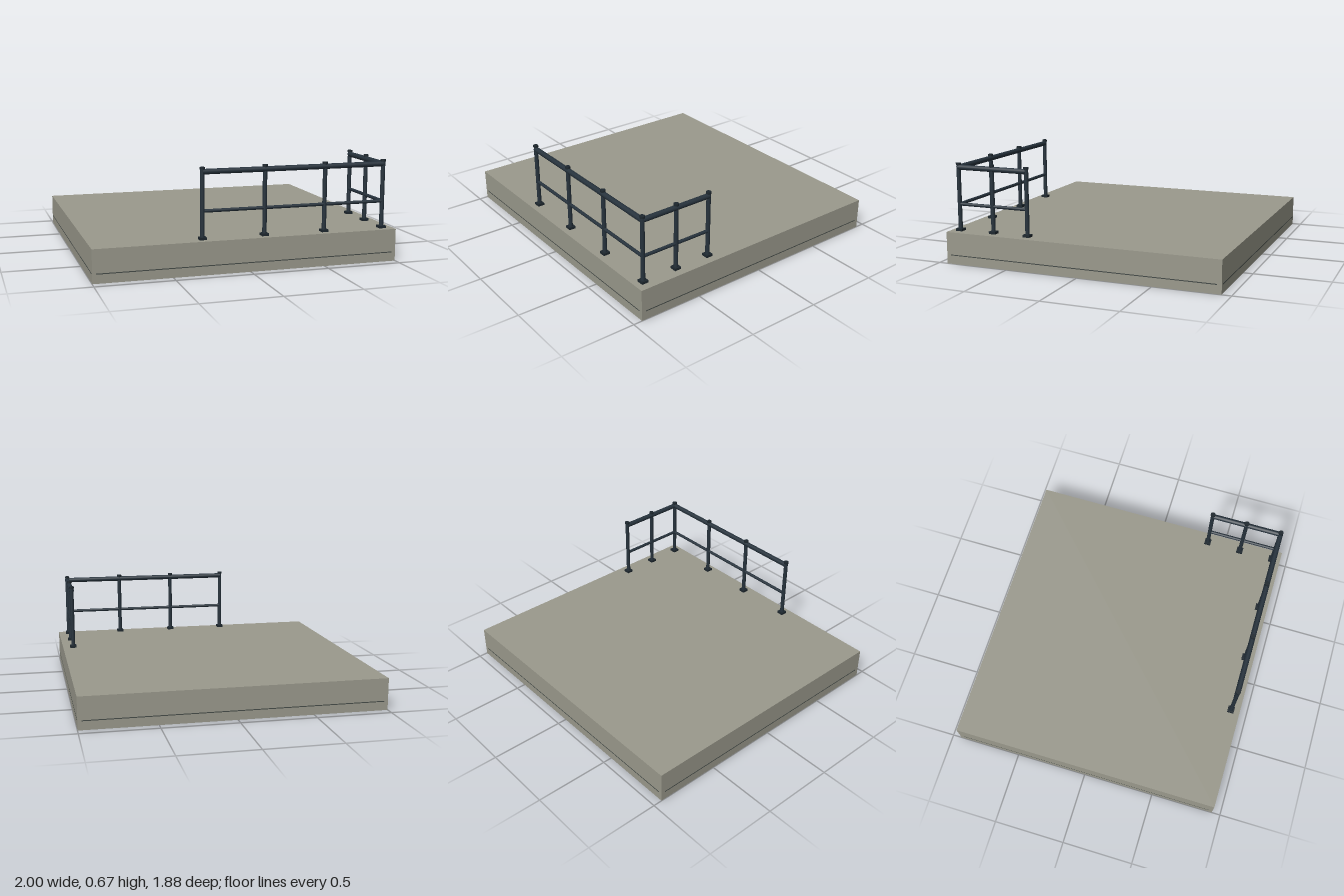
import * as THREE from 'three';

const paint = (name, hex) => Object.assign(new THREE.MeshStandardMaterial({ color: hex }), { name });

export function createModel() {
  const concrete = paint('concrete', 0x9a998c);
  const steel = paint('dark blue steel', 0x26323c);
  const darkSteel = paint('dark fittings', 0x1d272e);
  const seam = paint('seam', 0x454b48);

  const model = new THREE.Group();
  model.name = 'platformWithRailing';
  const add = (parent, name, geometry, material, x, y, z) => {
    const mesh = new THREE.Mesh(geometry, material);
    mesh.name = name;
    mesh.position.set(x, y, z);
    parent.add(mesh);
    return mesh;
  };

  // Slab
  const top = 0.213, halfX = 0.999, halfZ = 0.939;
  add(model, 'slab', new THREE.BoxGeometry(halfX * 2, top, halfZ * 2), concrete, 0, top / 2, 0);

  // Thin seam along each side face
  for (const s of [-1, 1]) {
    add(model, 'seamLong', new THREE.BoxGeometry(1.95, 0.006, 0.002), seam, 0, 0.06, s * halfZ);
    add(model, 'seamShort', new THREE.BoxGeometry(0.002, 0.006, 1.82), seam, s * halfX, 0.06, 0);
  }

  // Posts with base plate and cap: a front run, then a return along the left side
  const railing = new THREE.Group();
  railing.name = 'railing';
  model.add(railing);
  const cornerX = 0.925, frontZ = 0.875, startX = -0.298, endZ = 0.378;
  const spots = [[startX, frontZ], [0.11, frontZ], [0.517, frontZ], [cornerX, frontZ],
    [cornerX, 0.627], [cornerX, endZ]];
  for (const [x, z] of spots) {
    const post = new THREE.Group();
    post.name = 'post';
    post.position.set(x, top, z);
    railing.add(post);
    add(post, 'basePlate', new THREE.BoxGeometry(0.046, 0.016, 0.046), darkSteel, 0, 0.008, 0);
    add(post, 'postTube', new THREE.CylinderGeometry(0.014, 0.014, 0.43, 16), steel, 0, 0.225, 0);
    add(post, 'cap', new THREE.CylinderGeometry(0.017, 0.017, 0.014, 16), darkSteel, 0, 0.446, 0);
  }

  // Handrail and thinner middle rail
  for (const [name, y, r] of [['handrail', 0.637, 0.0175], ['middleRail', 0.392, 0.011]]) {
    const lengthX = cornerX - startX, lengthZ = frontZ - endZ;
    add(railing, name + 'Front', new THREE.CylinderGeometry(r, r, lengthX, 16), steel,
      (cornerX + startX) / 2, y, frontZ).rotation.z = Math.PI / 2;
    add(railing, name + 'Side', new THREE.CylinderGeometry(r, r, lengthZ, 16), steel,
      cornerX, y, (frontZ + endZ) / 2).rotation.x = Math.PI / 2;
  }
  return model;
}
